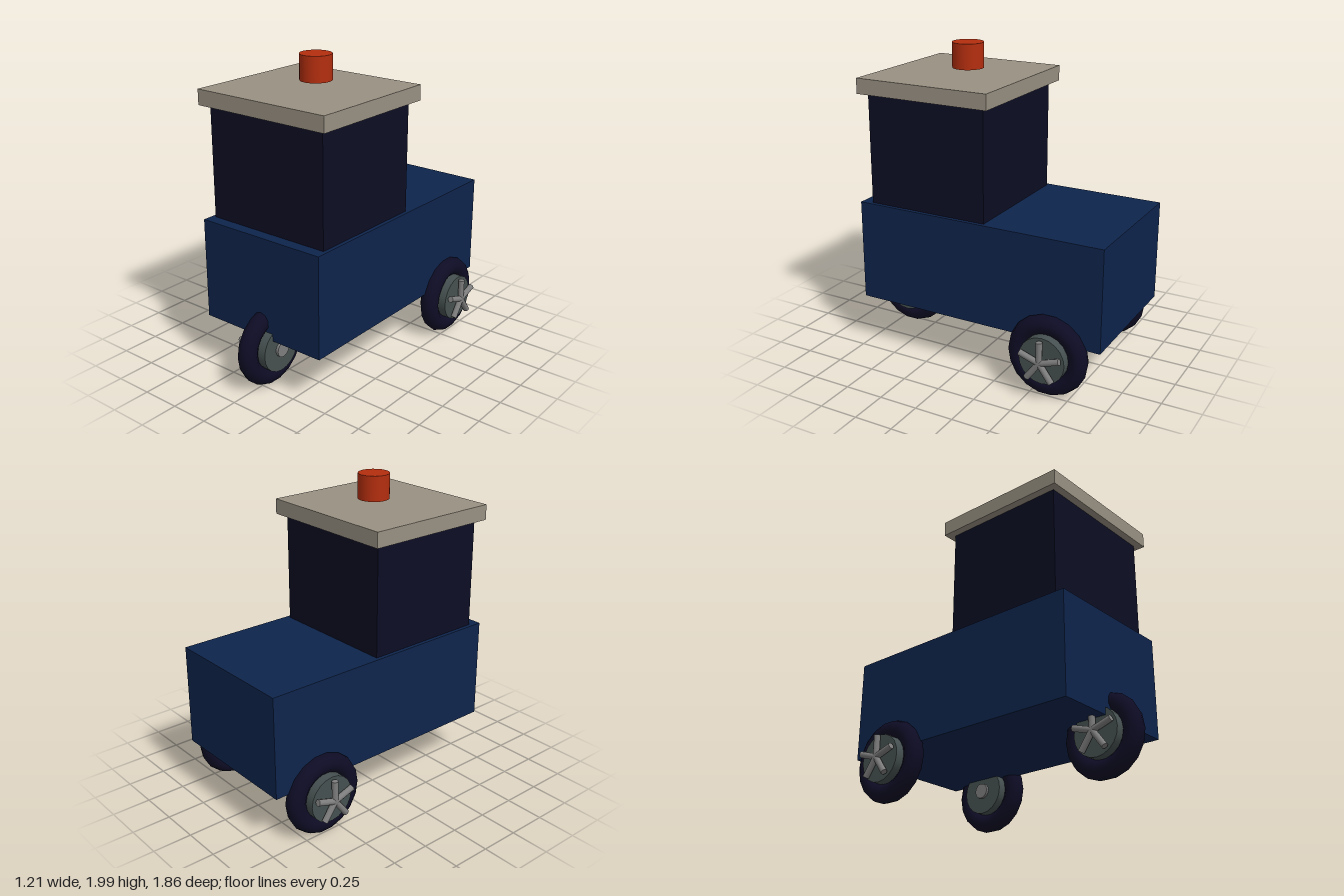
import * as THREE from 'three';

const mat = (name, color) => {
  const m = new THREE.MeshStandardMaterial({ color });
  m.name = name;
  return m;
};

export function createModel() {
  const navy = mat('navy body', 0x0e244c);
  const dark = mat('dark cabin', 0x0c0d23);
  const rubber = mat('tyre rubber', 0x0e0c25);
  const stone = mat('roof beige', 0x989082);
  const red = mat('beacon red', 0xb42e0f);
  const iron = mat('hub grey', 0x465050);
  const steel = mat('spoke grey', 0x7e7e7e);

  const model = new THREE.Group();
  model.name = 'vehicle';

  const add = (parent, name, geometry, material, x = 0, y = 0, z = 0) => {
    const mesh = new THREE.Mesh(geometry, material);
    mesh.name = name;
    mesh.position.set(x, y, z);
    parent.add(mesh);
    return mesh;
  };

  // Box given by its width and its y and z ranges
  const block = (name, w, y0, y1, z0, z1, material) =>
    add(model, name, new THREE.BoxGeometry(w, y1 - y0, z1 - z0), material,
      0, (y0 + y1) / 2, (z0 + z1) / 2);

  block('body', 0.91, 0.345, 1.0, -0.93, 0.745, navy);
  block('cabin', 0.86, 1.0, 1.71, -0.14, 0.67, dark);
  block('roof', 0.96, 1.71, 1.808, -0.19, 0.718, stone);

  // Beacon hovering just above the roof
  add(model, 'beacon', new THREE.CylinderGeometry(0.1, 0.1, 0.16, 20), red, 0, 1.92, 0.21);

  // Shared wheel geometries, with the axle along x
  const tyreGeo = new THREE.TorusGeometry(0.2, 0.061, 10, 18).rotateY(Math.PI / 2);
  const hubGeo = new THREE.CylinderGeometry(0.15, 0.15, 0.185, 20).rotateZ(Math.PI / 2);
  const capGeo = new THREE.CylinderGeometry(0.05, 0.05, 0.03, 16).rotateZ(Math.PI / 2);
  const spokeGeo = new THREE.CylinderGeometry(0.02, 0.02, 0.137, 10).translate(0, 0.0685, 0);

  // Spokes sit on the -x side, the round cap on the +x side
  const wheel = (name, x, z, flip) => {
    const g = new THREE.Group();
    g.name = name;
    add(g, 'tyre', tyreGeo, rubber);
    add(g, 'hub', hubGeo, iron);
    add(g, 'hubCap', capGeo, steel, 0.095);
    for (let i = 0; i < 5; i++) {
      add(g, 'spoke', spokeGeo, steel, -0.122).rotation.x = (i * Math.PI * 2) / 5;
    }
    g.position.set(x, 0.263, z);
    if (flip) g.rotation.y = Math.PI;
    model.add(g);
  };
  wheel('frontWheel', 0, 0.67, false);
  wheel('rearRightWheel', -0.465, -0.6, false);
  wheel('rearLeftWheel', 0.465, -0.6, true);

  return model;
}
